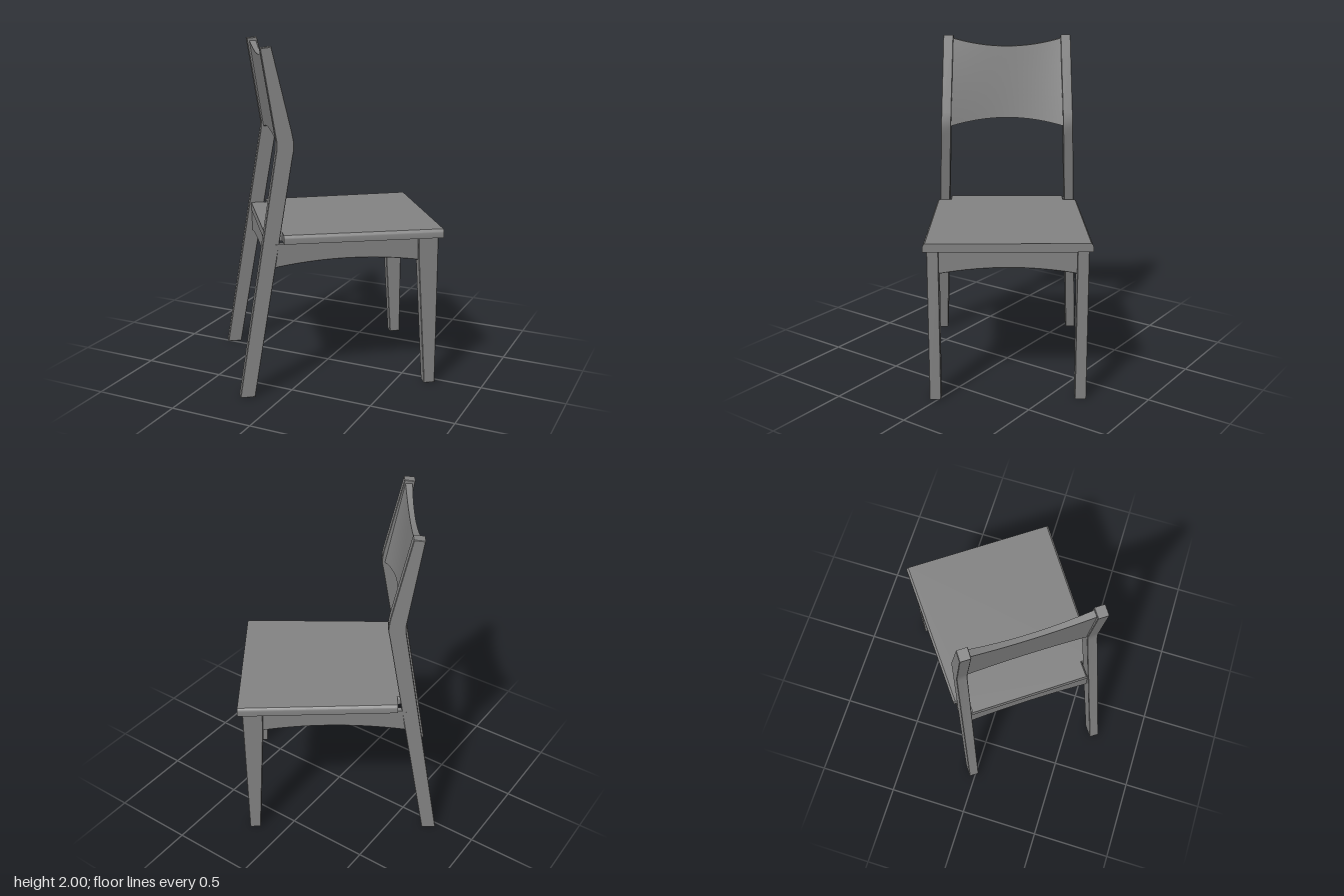
import * as THREE from 'three';
import { toCreasedNormals } from 'three/addons/utils/BufferGeometryUtils.js';

const material = new THREE.MeshStandardMaterial({ color: 0x838383 });
const lerp = THREE.MathUtils.lerp;

function part(name, geometry, parent) {
  const mesh = new THREE.Mesh(toCreasedNormals(geometry, 0.5), material);
  mesh.name = name;
  parent.add(mesh);
  return mesh;
}

// Flat board: outline in (u, y), centred on its thickness, with a fine eased edge
function board(points, thickness, ease = 0.003) {
  const shape = new THREE.Shape(points.map(([u, y]) => new THREE.Vector2(u, y)));
  return new THREE.ExtrudeGeometry(shape, {
    depth: thickness - 2 * ease, bevelThickness: ease, bevelSize: ease, bevelOffset: -ease, bevelSegments: 1,
  }).translate(0, 0, ease - thickness / 2);
}

// Same board with its outline running front to back
const sideBoard = (points, thickness) => board(points, thickness).rotateY(-Math.PI / 2);

// Move every vertex by a rule
function bend(geometry, rule) {
  const p = geometry.attributes.position, v = new THREE.Vector3();
  for (let i = 0; i < p.count; i++) {
    rule(v.fromBufferAttribute(p, i));
    p.setXYZ(i, v.x, v.y, v.z);
  }
  geometry.computeVertexNormals();
  return geometry;
}

// Apron outline with an arched lower edge
function apron(u0, u1) {
  const points = [[u1, 0.905], [u0, 0.905]];
  for (let i = 0; i <= 20; i++) {
    const t = i / 20;
    points.push([lerp(u0, u1, t), 0.765 + 0.036 * (1 - (2 * t - 1) ** 2)]);
  }
  return points;
}

// Sideways centre of a back post at height y
const postX = (y) => (y < 1.46 ? lerp(0.435, 0.38, y / 1.46) : lerp(0.38, 0.363, (y - 1.46) / 0.54));

export function createModel() {
  const model = new THREE.Group();
  model.name = 'chair';
  const chair = new THREE.Group();
  chair.name = 'chairBody';
  chair.rotation.y = 2.19; // the chair stands turned on its spot
  model.add(chair);

  // Seat: tapered board with rounded sides and a tongue reaching back between the posts
  const half = [[0.474, 0.591], [0.45, -0.332], [0.368, -0.332], [0.368, -0.432]];
  const outline = [...half, ...half.map(([x, z]) => [-x, z]).reverse()];
  const seatShape = new THREE.Shape(outline.map(([x, z]) => new THREE.Vector2(x, -z)));
  const seat = new THREE.ExtrudeGeometry(seatShape, { depth: 1, steps: 4, bevelEnabled: false }).rotateX(-Math.PI / 2);
  const levels = [[0.905, 0], [0.935, 0], [0.943, 0.002], [0.95, 0.007], [0.955, 0.013]];
  part('seat', bend(seat, (v) => {
    const [y, inset] = levels[Math.round(v.y * 4)];
    v.x *= 1 - inset / 0.46;
    v.y = y;
  }), chair);

  // Back posts: raked, bent at a softened knee
  const post = [
    [-0.598, 0], [-0.512, 0], [-0.274, 1.39], [-0.264, 1.44], [-0.265, 1.48], [-0.274, 1.53],
    [-0.381, 2], [-0.443, 1.992], [-0.37, 1.53], [-0.362, 1.48], [-0.364, 1.43],
  ];
  // Front legs: tapered on the inner rear face
  const leg = [[0.5, 0], [0.566, 0], [0.566, 0.905], [0.447, 0.905], [0.452, 0.76]];

  for (const [side, s] of [['left', 1], ['right', -1]]) {
    part(side + 'BackPost', bend(sideBoard(post, 0.062), (v) => { v.x += s * postX(v.y); }), chair);
    part(side + 'FrontLeg', sideBoard(leg, 0.067), chair).position.x = s * 0.421;
    part(side + 'SideApron', sideBoard(apron(-0.385, 0.47), 0.035), chair).position.x = s * 0.415;
  }
  part('frontApron', board(apron(-0.395, 0.395), 0.035), chair).position.z = 0.536;
  part('backApron', board(apron(-0.378, 0.378), 0.035), chair).position.z = -0.41;

  // Backrest: leaning panel with a hollowed front and curved upper and lower edges
  const panel = new THREE.BoxGeometry(2, 1, 1, 28, 12, 1);
  part('backrest', bend(panel, (v) => {
    const u = v.x, t = v.y + 0.5, hollow = 1 - u * u;
    const y = lerp(1.445 + 0.045 * hollow, 1.98 - 0.05 * hollow, t);
    const k = (y - 1.47) / 0.53;
    const back = lerp(-0.36, -0.44, k) + 0.01;
    const front = lerp(-0.285, -0.39, k) - lerp(0.048, 0.012, t) * hollow;
    v.set(u * (postX(y) - 0.025), y, v.z > 0 ? front : back);
  }), chair);

  return model;
}
